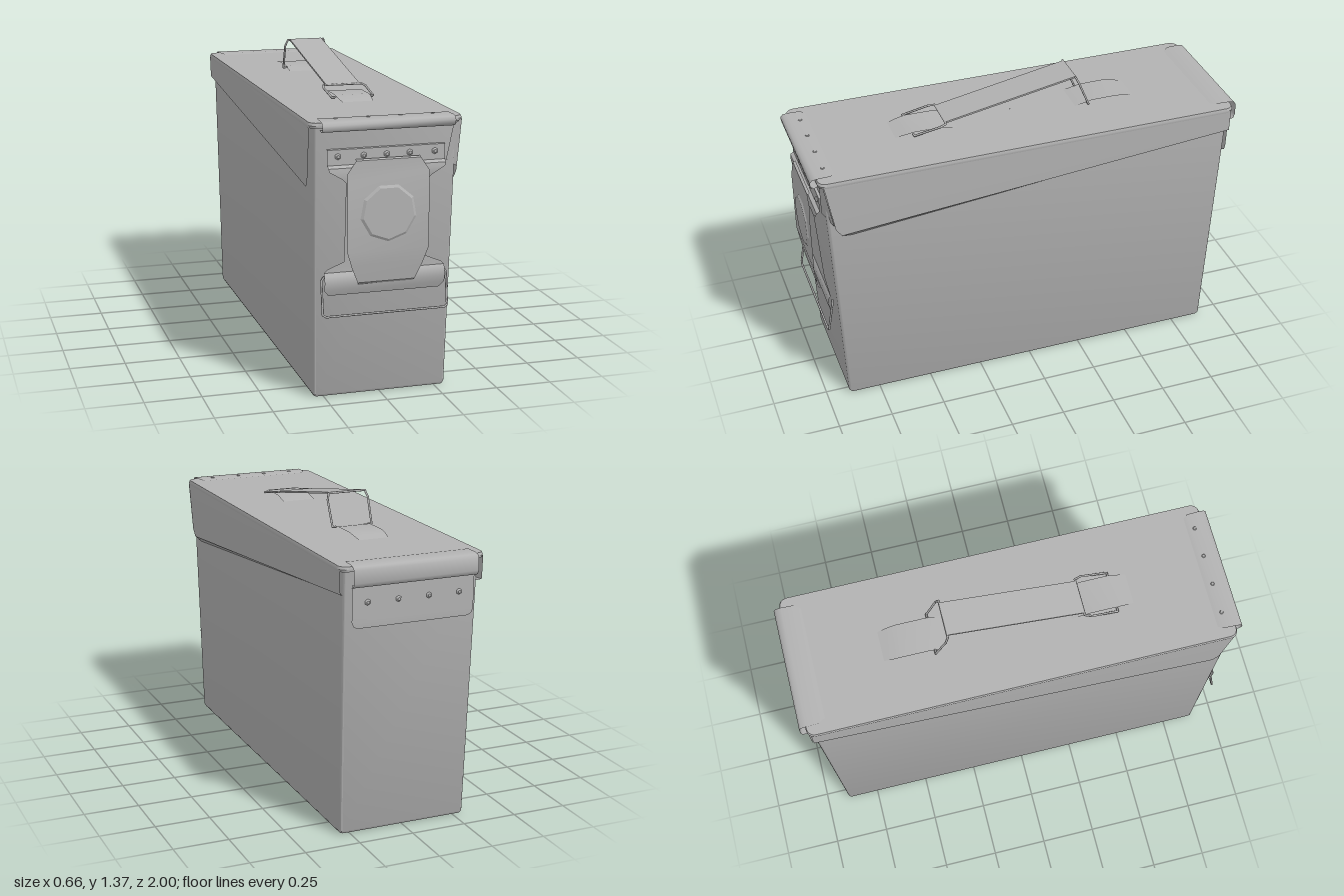
import * as THREE from 'three';
import { mergeGeometries, toCreasedNormals } from 'three/addons/utils/BufferGeometryUtils.js';

const steel = new THREE.MeshStandardMaterial({ color: 0xb2b2b2, side: THREE.DoubleSide });
steel.name = 'grey steel';

// Skin over rows of [x, y, z] points
function skin(rows, closed = false, crease = 0.6) {
  const n = rows[0].length, index = [];
  for (let r = 0; r < rows.length - 1; r++) {
    for (let i = 0; i < (closed ? n : n - 1); i++) {
      const a = r * n + i, b = r * n + (i + 1) % n;
      index.push(a, b, b + n, a, b + n, a + n);
    }
  }
  const g = new THREE.BufferGeometry();
  g.setAttribute('position', new THREE.Float32BufferAttribute(rows.flat(2), 3));
  g.setIndex(index);
  g.computeVertexNormals();
  return crease ? toCreasedNormals(g, crease) : g;
}

// Symmetric bent sheet from [halfWidth, y, z] stations; faces +z / +y when running from top to bottom
const sheet = (stations, crease) =>
  skin(stations.map(([w, y, z]) => [[w, y, z], [-w, y, z]]), false, crease);

// Rounded rectangle ring in the xz plane
function ring(hx, hz, r, y, steps = 4) {
  const pts = [];
  [[1, 1], [-1, 1], [-1, -1], [1, -1]].forEach(([sx, sz], q) => {
    for (let i = 0; i <= steps; i++) {
      const a = (q + i / steps) * Math.PI / 2;
      pts.push([sx * (hx - r) + Math.cos(a) * r, y, sz * (hz - r) + Math.sin(a) * r]);
    }
  });
  return pts;
}

// Bent wire made of straight round pieces
function wire(points, radius = 0.005) {
  const v = points.map(p => new THREE.Vector3(...p));
  const parts = [];
  for (let i = 0; i < v.length - 1; i++) {
    parts.push(new THREE.TubeGeometry(new THREE.LineCurve3(v[i], v[i + 1]), 1, radius, 6));
    parts.push(new THREE.SphereGeometry(radius, 6, 4).translate(v[i].x, v[i].y, v[i].z));
  }
  return mergeGeometries(parts);
}

export function createModel() {
  const root = new THREE.Group();
  const add = (name, geometry, parent = root) => {
    const m = new THREE.Mesh(geometry, steel);
    m.name = name;
    parent.add(m);
    return m;
  };

  // Tapered box with a small bevel around the base
  add('body', skin([
    ring(0.309, 0.952, 0.016, 1.19),
    ring(0.296, 0.897, 0.016, 0.014),
    ring(0.29, 0.89, 0.014, 0.003),
    ring(0.28, 0.88, 0.012, 0),
    ring(0.001, 0.001, 0.0005, 0),
  ], true));

  // Lid slab with turned-down rim
  add('lid', skin([
    ring(0.309, 0.952, 0.02, 1.185),
    ring(0.33, 0.97, 0.035, 1.185),
    ring(0.332, 0.972, 0.035, 1.195),
    ring(0.328, 0.968, 0.035, 1.207),
    ring(0.001, 0.001, 0.0005, 1.207),
  ], true));

  // Wedge-shaped side skirts with an inward flange along the bottom
  for (const s of [1, -1]) {
    add(s > 0 ? 'leftSkirt' : 'rightSkirt', skin([
      [[s * 0.329, 1.19, 0.95], [s * 0.329, 1.19, -0.955]],
      [[s * 0.326, 0.96, 0.91], [s * 0.326, 1.1, -0.955]],
      [[s * 0.324, 0.925, 0.885], [s * 0.325, 1.088, -0.955]],
      [[s * 0.303, 0.905, 0.83], [s * 0.308, 1.082, -0.945]],
    ]));
  }
  // Front return of the skirt
  add('skirtFrontFlange', skin([
    [[0.33, 1.19, 0.953], [0.29, 1.17, 0.962]],
    [[0.326, 0.98, 0.915], [0.262, 1.02, 0.955]],
  ]));

  // Front lip: flat strip on the lid rolled over the edge
  add('frontLip', sheet([
    [0.27, 1.209, 0.89], [0.285, 1.214, 0.91], [0.287, 1.214, 0.97], [0.287, 1.21, 0.99],
    [0.287, 1.198, 1.0], [0.287, 1.18, 0.998], [0.287, 1.17, 0.985], [0.287, 1.175, 0.965],
  ], 1.2));

  // Rear hinge: rolled cover and plate below it
  add('hingeCover', sheet([
    [0.262, 1.208, -0.88], [0.283, 1.213, -0.91], [0.285, 1.213, -0.965], [0.285, 1.208, -0.99],
    [0.285, 1.195, -1.0], [0.285, 1.14, -1.0], [0.285, 1.122, -0.993], [0.285, 1.118, -0.972],
  ], 1.2));
  add('hingePlate', sheet([
    [0.28, 1.13, -0.972], [0.28, 0.97, -0.968], [0.272, 0.95, -0.967], [0.255, 0.94, -0.966],
    [0.255, 0.94, -0.942],
  ]));

  // Rivets, on the hinge plate, front bracket and front lip
  const rivet = () => new THREE.CylinderGeometry(0.007, 0.014, 0.008, 6);
  for (const x of [-0.21, -0.07, 0.07, 0.21]) {
    add('hingeRivet', rivet().rotateX(-Math.PI / 2).translate(x, 1.05, -0.974));
    add('lipRivet', rivet().translate(x, 1.213, 0.925));
  }
  for (const x of [-0.21, -0.1, 0, 0.1, 0.21]) {
    add('bracketRivet', rivet().rotateX(Math.PI / 2).translate(x, 1.062, 0.965));
  }

  // Front latch
  const latch = new THREE.Group();
  latch.name = 'latch';
  root.add(latch);
  add('latchBracket', sheet([
    [0.255, 1.092, 0.948], [0.255, 1.09, 0.96], [0.255, 1.025, 0.96], [0.255, 1.015, 0.976],
    [0.25, 1.0, 0.978], [0.195, 0.968, 0.978], [0.178, 0.95, 0.972], [0.178, 0.61, 0.948],
    [0.25, 0.58, 0.946], [0.265, 0.565, 0.946],
  ]), latch);
  add('latchFoot', sheet([
    [0.265, 0.565, 0.944], [0.265, 0.55, 0.957], [0.265, 0.52, 0.96],
    [0.265, 0.49, 0.952], [0.245, 0.465, 0.942],
  ], 1.2), latch);
  add('latchLever', sheet([
    [0.14, 1.05, 0.976], [0.14, 1.045, 0.988], [0.178, 0.99, 0.988], [0.178, 0.95, 0.993],
    [0.178, 0.66, 0.993], [0.155, 0.59, 0.982], [0.125, 0.52, 0.97], [0.12, 0.51, 0.96],
  ]), latch);
  add('latchBoss', toCreasedNormals(
    new THREE.CylinderGeometry(0.112, 0.125, 0.008, 9).rotateX(Math.PI / 2), 0.3), latch)
    .position.set(0, 0.82, 0.996);
  add('latchBail', wire([
    [-0.265, 0.545, 0.94], [-0.275, 0.53, 0.942], [-0.275, 0.39, 0.966], [-0.262, 0.381, 0.968],
    [0.262, 0.381, 0.968], [0.275, 0.39, 0.966], [0.275, 0.53, 0.942], [0.265, 0.545, 0.94],
  ]), latch);

  // Carry handle: tilted strap, wire loops and lid clips
  const handle = new THREE.Group();
  handle.name = 'carryHandle';
  root.add(handle);
  const strap = new THREE.BoxGeometry(0.156, 0.008, Math.hypot(0.62, 0.116));
  add('strap', strap.rotateX(Math.atan2(0.116, 0.62)).translate(0, 1.303, 0.02), handle);

  const loop = (z1, y1, z2, y2) => {
    const t = 0.2, zm = z1 + (z2 - z1) * t, ym = y1 + (y2 - y1) * t;
    return wire([
      [-0.078, y2, z2], [-0.095, y2, z2], [-0.098, ym, zm], [-0.088, y1, z1],
      [0.088, y1, z1], [0.098, ym, zm], [0.095, y2, z2], [0.078, y2, z2],
    ]);
  };
  add('frontLoop', loop(0.33, 1.245, 0.48, 1.217), handle);
  add('rearLoop', loop(-0.287, 1.36, -0.347, 1.219), handle);

  for (const [name, z, s] of [['frontClip', 0.415, 1], ['rearClip', -0.43, -1]]) {
    add(name, sheet([
      [0.078, 1.208, z - s * 0.14], [0.078, 1.224, z - s * 0.06], [0.078, 1.225, z + s * 0.06],
      [0.076, 1.218, z + s * 0.1], [0.07, 1.208, z + s * 0.145],
    ]), handle);
  }

  return root;
}
